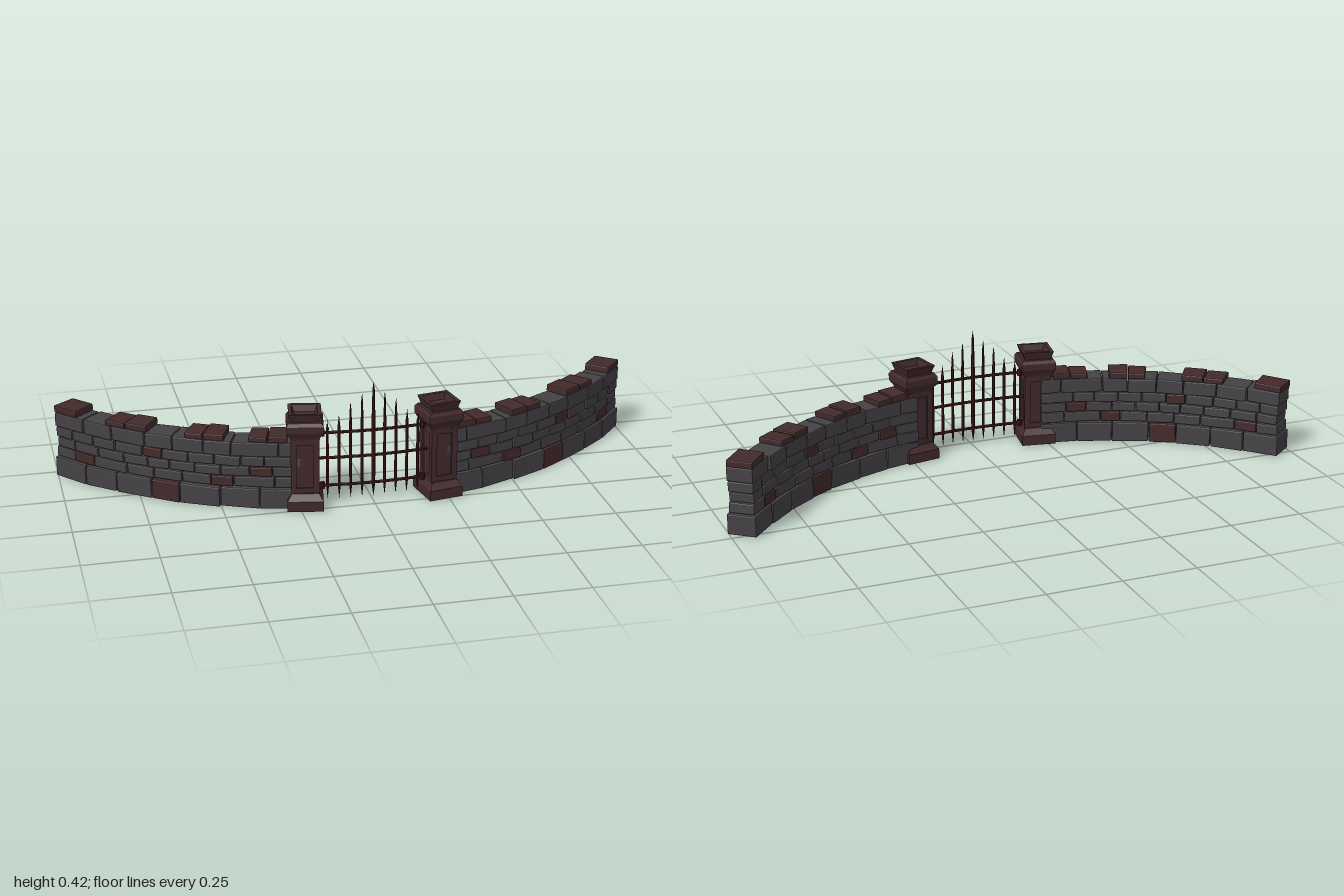
import * as THREE from 'three';
import { RoundedBoxGeometry } from 'three/addons/geometries/RoundedBoxGeometry.js';

// The whole fence follows one arc about (0, CZ); angles are measured from +z
const R = 1.235, CZ = -1.02, DEG = Math.PI / 180;
const mat = (color) => new THREE.MeshStandardMaterial({ color, flatShading: true });
const stoneMat = mat(0x454246), redMat = mat(0x432a2b), pillarMat = mat(0x422a2c), ironMat = mat(0x3a1512);

// Small seeded generator, result in -1..1
function seeded(seed) {
  let s = seed;
  return () => {
    s = (s * 16807) % 2147483647;
    return (s / 2147483647) * 2 - 1;
  };
}

function add(parent, name, geometry, material) {
  const mesh = new THREE.Mesh(geometry, material);
  mesh.name = name;
  parent.add(mesh);
  return mesh;
}

// Put an object on the arc, turned so its local z points outwards
function onArc(object, angle, radius = R, y = 0) {
  object.position.set(Math.sin(angle) * radius, y, CZ + Math.cos(angle) * radius);
  object.rotation.y = angle;
}

// Square column from a [half width, height] profile
function squareLathe(profile) {
  const points = profile.map(([h, y]) => new THREE.Vector2(h * Math.SQRT2, y));
  return new THREE.LatheGeometry(points, 4, Math.PI / 4);
}

// Slightly crooked, wedge-shaped block between two angles in degrees
function stone(parent, side, a0, a1, y0, y1, depth, material, rnd) {
  const angle = (a0 + a1) / 2 * DEG, width = (a1 - a0) * DEG * R - 0.002, height = y1 - y0;
  const g = new RoundedBoxGeometry(width, height, depth, 1, 0.004);
  const [lean, tilt, twist, swell, shift] = Array.from({ length: 5 }, rnd);
  const p = g.attributes.position;
  for (let i = 0; i < p.count; i++) {
    const u = side * p.getX(i), v = p.getY(i), w = p.getZ(i);
    const x = u * (1 + w / R) + lean * 0.06 * v;
    const y = v * (1 + 0.06 * swell * u / width) + tilt * 0.03 * u;
    const z = w * (1 + 0.04 * swell) + twist * 0.04 * u + shift * 0.002;
    p.setXYZ(i, side * x, y, z);
  }
  g.computeVertexNormals();
  onArc(add(parent, 'stone', g, material), side * angle, R, (y0 + y1) / 2);
}

// Courses: heights, depth, joint angles and indices of the reddish stones
const COURSES = [
  { y: [0.004, 0.074], depth: 0.098, joints: [11, 17.2, 23.1, 29.3, 33.9, 39.8, 45.4, 51.5], red: [3] },
  { y: [0.077, 0.113], depth: 0.088, joints: [11, 15, 21.1, 24.5, 29, 33.5, 38, 43.8, 47.6, 51.3], red: [2, 7] },
  { y: [0.115, 0.148], depth: 0.088, joints: [11, 15.3, 18.7, 23, 27, 31, 34.5, 38.5, 43, 47.5, 51.1], red: [1] },
  { y: [0.150, 0.185], depth: 0.088, joints: [11, 16.5, 20, 24, 28, 32.1, 35.3, 40, 44, 48, 51.3], red: [5] },
  { y: [0.186, 0.236], depth: 0.092, joints: [11, 14.4, 21.4, 25.6, 30.4, 34.9, 40.5, 45.7, 51.4], red: [] },
];
const COPING = [[13, 16, 18.9], [22.4, 25.6, 28.5], [34.5, 38.2, 41.6], [46.9, 51.6]];

function buildWall(side) {
  const wall = new THREE.Group();
  wall.name = side > 0 ? 'leftWall' : 'rightWall';
  const rnd = seeded(4711);
  for (const { y, depth, joints, red } of COURSES) {
    for (let i = 0; i < joints.length - 1; i++) {
      const material = red.includes(i) ? redMat : stoneMat;
      stone(wall, side, joints[i], joints[i + 1], y[0], y[1], depth, material, rnd);
    }
  }
  // Broken row of coping stones
  for (const joints of COPING) {
    for (let i = 0; i < joints.length - 1; i++) {
      stone(wall, side, joints[i], joints[i + 1], 0.235, 0.259 - 0.004 * i, 0.09, redMat, rnd);
    }
  }
  return wall;
}

function buildPillar(side) {
  const pillar = new THREE.Group();
  pillar.name = side > 0 ? 'leftPillar' : 'rightPillar';
  // Plinth, deeper than wide
  const plinth = squareLathe([[0, 0.005], [0.069, 0.005], [0.069, 0.04], [0.052, 0.062], [0, 0.062]]);
  add(pillar, 'plinth', plinth, pillarMat).scale.x = 0.86;
  // Shaft with a sunken panel on each face
  add(pillar, 'shaftCore', new THREE.BoxGeometry(0.08, 0.2, 0.08).translate(0, 0.155, 0), pillarMat);
  for (const sx of [-1, 1]) {
    for (const sz of [-1, 1]) {
      const post = add(pillar, 'shaftCorner', new THREE.BoxGeometry(0.02, 0.2, 0.02), pillarMat);
      post.position.set(sx * 0.037, 0.155, sz * 0.037);
    }
  }
  for (const y of [0.068, 0.242]) {
    add(pillar, 'shaftBand', new THREE.BoxGeometry(0.0935, 0.024, 0.0935), pillarMat).position.y = y;
  }
  // Moulded cap with a hollow top
  add(pillar, 'cap', squareLathe([
    [0, 0.25], [0.047, 0.25], [0.052, 0.264], [0.056, 0.267], [0.061, 0.278], [0.061, 0.3],
    [0.054, 0.311], [0.045, 0.312], [0.054, 0.34], [0.042, 0.34], [0.034, 0.318], [0, 0.318],
  ]), pillarMat);
  onArc(pillar, side * 10.5 * DEG, 1.242);
  return pillar;
}

function buildGate() {
  const gate = new THREE.Group();
  gate.name = 'gate';
  const radius = 1.24, reach = 8.6 * DEG;
  // Curved rails running into the pillars
  const path = [];
  for (let i = 0; i <= 8; i++) {
    const a = (i / 4 - 1) * reach;
    path.push(new THREE.Vector3(Math.sin(a) * radius, 0, CZ + Math.cos(a) * radius));
  }
  const curve = new THREE.CatmullRomCurve3(path);
  for (const y of [0.068, 0.166, 0.255]) {
    add(gate, 'rail', new THREE.TubeGeometry(curve, 16, 0.0055, 6), ironMat).position.y = y;
  }
  // Pointed bars, rising towards the middle
  const tops = [0.425, 0.388, 0.36, 0.318, 0.302];
  for (let i = -4; i <= 4; i++) {
    const top = tops[Math.abs(i)], r = i === 0 ? 0.0065 : 0.005;
    const profile = [[0, 0.018], [r * 0.8, 0.055], [r, 0.07], [r, 0.255], [r * 1.1, 0.272], [r * 0.6, top - 0.04 + 0.012], [0, top]];
    const points = profile.map(([x, y]) => new THREE.Vector2(x, y));
    const bar = add(gate, 'bar', new THREE.LatheGeometry(points, 6), ironMat);
    onArc(bar, Math.asin(i * 0.0382 / radius), radius);
  }
  // Hinge collars against the pillars
  for (const side of [-1, 1]) {
    for (const y of [0.068, 0.255]) {
      const hinge = add(gate, 'hinge', new THREE.CylinderGeometry(0.009, 0.009, 0.022, 6), ironMat);
      onArc(hinge, side * 7.85 * DEG, radius, y);
    }
  }
  return gate;
}

export function createModel() {
  const model = new THREE.Group();
  model.name = 'curvedWallWithGate';
  for (const side of [1, -1]) model.add(buildWall(side), buildPillar(side));
  model.add(buildGate());
  return model;
}
